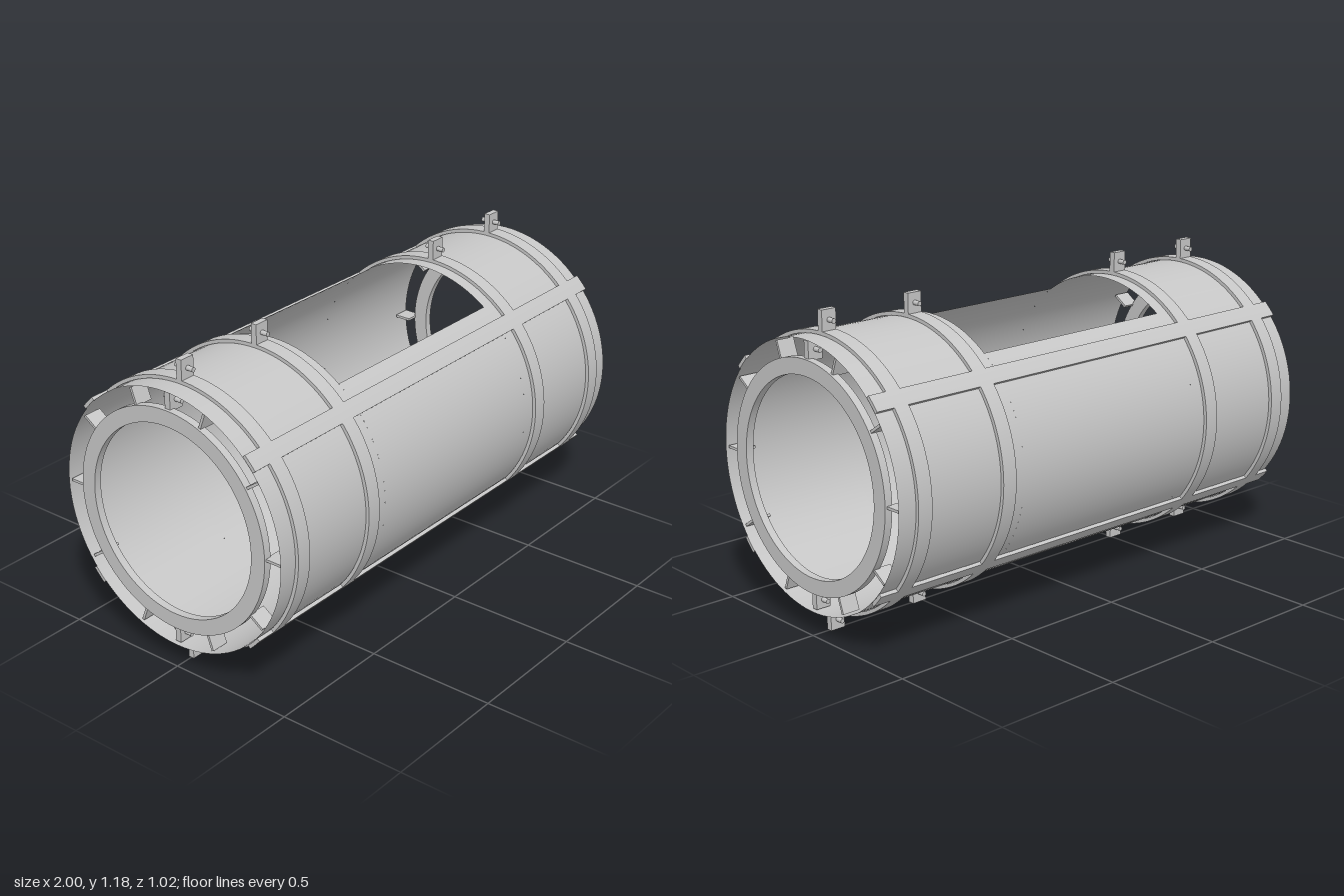
import * as THREE from 'three';
import { toCreasedNormals } from 'three/addons/utils/BufferGeometryUtils.js';

const CY = 0.588;            // height of the pipe axis
const WIN_X = 0.437;         // half length of the window
const WIN_Z = 0.29;          // half width of the window
const SHELL_R = 0.497;
const DEG = Math.PI / 180;

export function createModel() {
  const model = new THREE.Group();
  // Double sided because the shell is an open sheet
  const steel = new THREE.MeshStandardMaterial({ color: 0xc6c6c6, side: THREE.DoubleSide });
  steel.name = 'grey steel';

  const add = (name, geometry, x = 0, y = CY, z = 0) => {
    const mesh = new THREE.Mesh(geometry, steel);
    mesh.name = name;
    mesh.position.set(x, y, z);
    model.add(mesh);
  };

  // Extrudes a cross-section along x, from x0 to x1
  const alongX = (shape, x0, x1, curveSegments) => {
    const g = new THREE.ExtrudeGeometry(shape, { depth: x1 - x0, bevelEnabled: false, curveSegments });
    g.rotateY(Math.PI / 2);
    g.translate(x0, 0, 0);
    return toCreasedNormals(g, 0.5);
  };

  // Full hollow ring
  const ring = (rIn, rOut, x0, x1) => {
    const shape = new THREE.Shape().absarc(0, 0, rOut, 0, Math.PI * 2, false);
    shape.holes.push(new THREE.Path().absarc(0, 0, rIn, 0, Math.PI * 2, true));
    return alongX(shape, x0, x1, 96);
  };

  // Curved strip along x, covering part of a ring
  const strip = (rIn, rOut, mid, half) => {
    const shape = new THREE.Shape();
    shape.absarc(0, 0, rOut, mid - half, mid + half, false);
    shape.absarc(0, 0, rIn, mid + half, mid - half, true);
    shape.closePath();
    return alongX(shape, -1, 1, 8);
  };

  // Thin shell sheet, open over the angle 2 * gap at the top
  const sheet = (name, x0, x1, gap) => {
    const g = new THREE.CylinderGeometry(SHELL_R, SHELL_R, x1 - x0, 96, 1, true,
      gap - Math.PI / 2, 2 * (Math.PI - gap));
    g.rotateZ(Math.PI / 2);
    // The cylinder's -x direction now points down, so turn the gap to the top
    g.rotateX(Math.PI);
    g.computeBoundingBox();
    add(name, g, (x0 + x1) / 2);
  };
  sheet('shellRightEnd', -1, -WIN_X, 0);
  sheet('shellLeftEnd', WIN_X, 1, 0);

  // Middle of the shell, with the window in its top
  const gap = Math.asin(WIN_Z / SHELL_R);
  const middle = new THREE.CylinderGeometry(SHELL_R, SHELL_R, 2 * WIN_X, 96, 1, true,
    gap, 2 * (Math.PI - gap));
  middle.rotateX(-Math.PI / 2);   // start direction +z becomes +y
  middle.rotateY(Math.PI / 2);    // length along x
  add('shellMiddle', middle);

  // Lengthwise strips at the four diagonals
  for (const angle of [43, 137, 223, 317]) {
    add('lengthwiseStrip', strip(0.4985, 0.512, angle * DEG, 3.6 * DEG));
  }

  // Bolted lug: plate with a cross bolt, above (side 1) or below (side -1) the axis
  const lug = (name, x, side, r0, r1, boltR) => {
    add(name, new THREE.BoxGeometry(0.06, r1 - r0, 0.024), x, CY + side * (r0 + r1) / 2);
    const bolt = new THREE.CylinderGeometry(0.009, 0.009, 0.08, 16);
    bolt.rotateX(Math.PI / 2);
    add(name + 'Bolt', bolt, x, CY + side * boltR);
  };

  // Clamp bands around the shell
  for (const x of [-0.897, -0.518, 0.518, 0.897]) {
    add('clampBand', ring(0.4985, 0.512, x - 0.03, x + 0.03));
    for (const side of [1, -1]) lug('outerLug', x, side, 0.5, 0.588, 0.55);
  }

  // End rings inside the shell, with lugs and radial spacers
  for (const end of [-1, 1]) {
    add('endRing', ring(0.367, 0.427, end * 0.985 - 0.015, end * 0.985 + 0.015));
    for (const side of [1, -1]) lug('innerLug', end * 0.958, side, 0.42, 0.49, 0.458);
    for (const angle of [-70, -35, 0, 35, 70, 110, 145, 180, 215, 250]) {
      const web = new THREE.BoxGeometry(0.07, 0.01, 0.068);
      web.translate(0, 0, 0.456);
      web.rotateX(-angle * DEG);
      add('spacerWeb', web, end * 0.957);
    }
  }
  return model;
}
